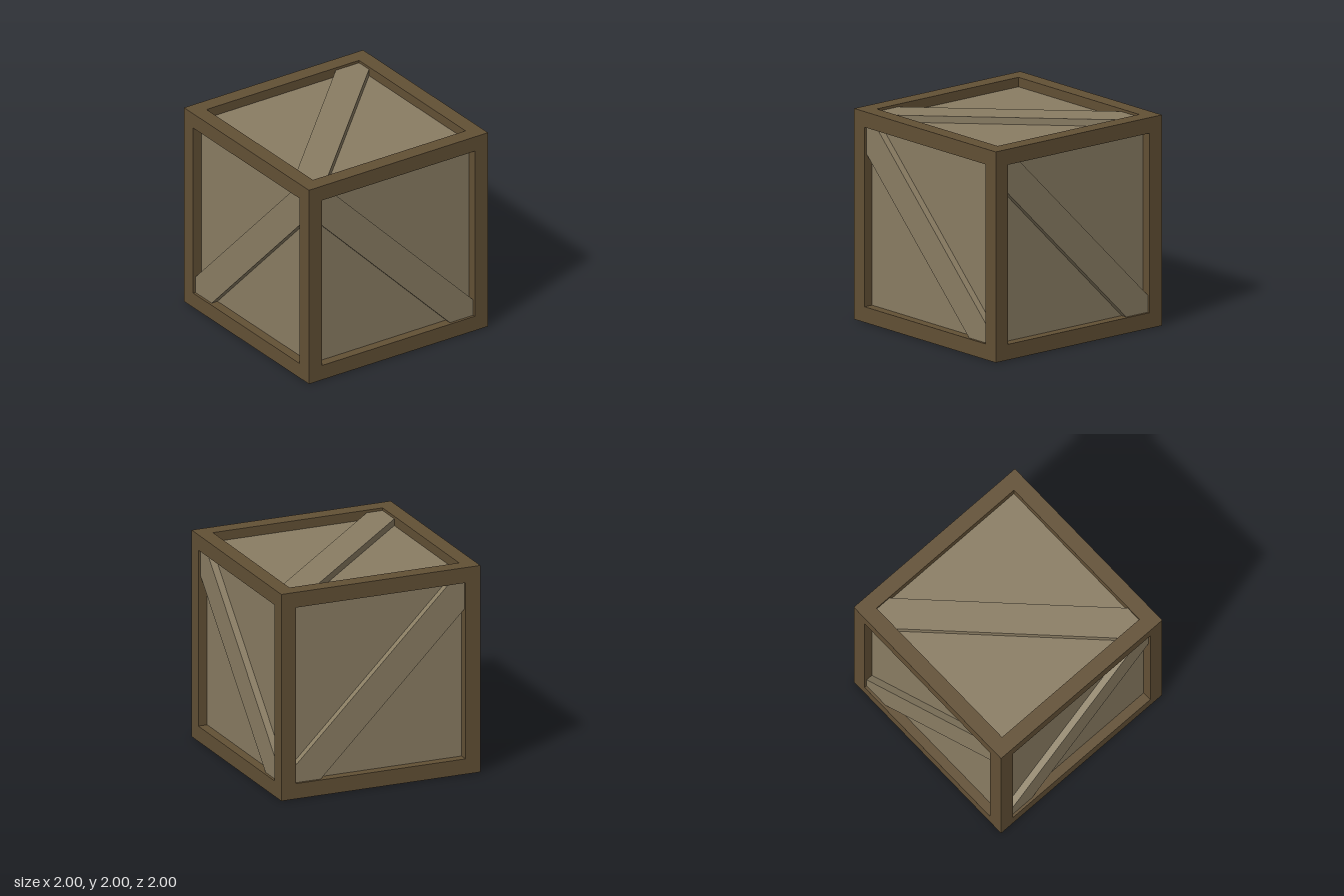
import * as THREE from 'three';

const BEAM = 0.148;          // square section of the frame beams
const INNER = 1 - BEAM;      // half opening of each side
const PANEL = 0.91;          // distance of the panel faces from the centre
const BRACE = 0.975;         // distance of the brace faces from the centre

export function createModel() {
  const frameWood = new THREE.MeshStandardMaterial({ color: 0x625035 });
  frameWood.name = 'darkFrameWood';
  const panelWood = new THREE.MeshStandardMaterial({ color: 0x8a7d63 });
  panelWood.name = 'palePanelWood';

  const model = new THREE.Group();
  model.name = 'crate';
  const crate = new THREE.Group();
  crate.name = 'crateBody';
  crate.position.y = 1;
  model.add(crate);

  const add = (name, geometry, material, x = 0, y = 0, z = 0) => {
    const mesh = new THREE.Mesh(geometry, material);
    mesh.name = name;
    mesh.position.set(x, y, z);
    crate.add(mesh);
    return mesh;
  };

  // Frame: four posts, with rails between them at top and bottom
  const post = new THREE.BoxGeometry(BEAM, 2, BEAM);
  const railX = new THREE.BoxGeometry(2 * INNER, BEAM, BEAM);
  const railZ = new THREE.BoxGeometry(BEAM, BEAM, 2 * INNER);
  const c = 1 - BEAM / 2;
  for (const a of [-c, c]) {
    for (const b of [-c, c]) {
      add('cornerPost', post, frameWood, a, 0, b);
      add('crossRail', railX, frameWood, 0, a, b);
      add('sideRail', railZ, frameWood, a, b, 0);
    }
  }

  // Recessed panels on all six sides
  add('panels', new THREE.BoxGeometry(2 * PANEL, 2 * PANEL, 2 * PANEL), panelWood);

  // Diagonal brace, cut to fit the opening and slightly off the diagonal
  const low = INNER - 0.26, high = INNER - 0.16;
  const outline = new THREE.Shape([
    [-INNER, low], [low, -INNER], [INNER, -INNER],
    [INNER, -high], [-high, INNER], [-INNER, INNER],
  ].map(([x, y]) => new THREE.Vector2(x, y)));
  const depth = BRACE - PANEL + 0.01;
  const brace = new THREE.ExtrudeGeometry(outline, { depth, bevelEnabled: false });
  brace.translate(0, 0, -depth / 2);

  // One pair of opposite braces along each axis
  const w = BRACE - depth / 2;
  for (const s of [-1, 1]) {
    add(s > 0 ? 'frontBrace' : 'backBrace', brace, panelWood, 0, 0, s * w);
    add(s > 0 ? 'leftBrace' : 'rightBrace', brace, panelWood, s * w, 0, 0).rotation.y = Math.PI / 2;
    add(s > 0 ? 'topBrace' : 'bottomBrace', brace, panelWood, 0, s * w, 0).rotation.x = Math.PI / 2;
  }

  return model;
}
